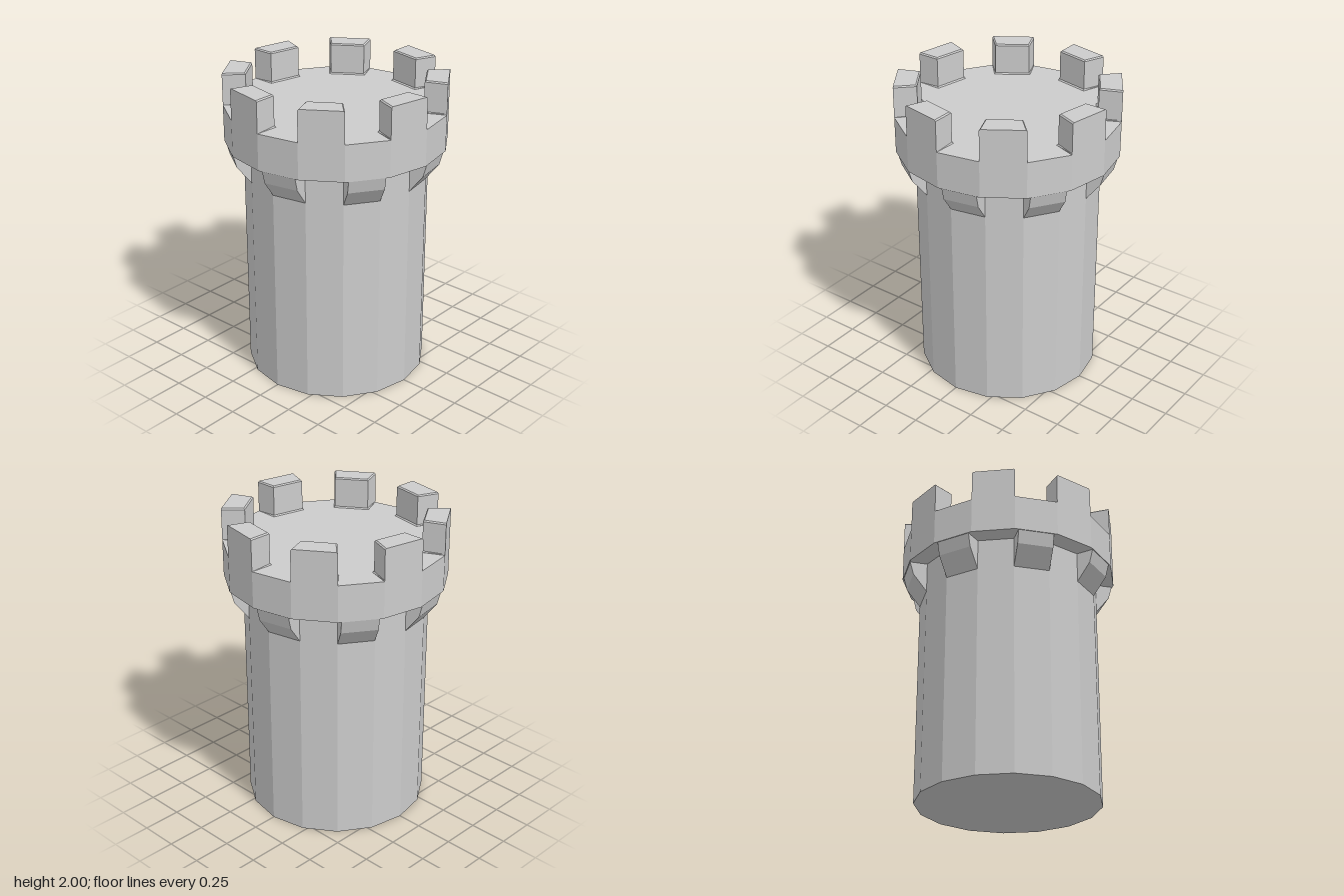
import * as THREE from 'three';

const SIDES = 16;
const STEP = (Math.PI * 2) / SIDES;
const SHAFT_R = 0.588, CROWN_R = 0.708, MERLON_R = 0.562;
const CROWN_BASE = 1.56, FLOOR = 1.795, TOP = 2;

const material = new THREE.MeshStandardMaterial({ color: 0xcccccc, flatShading: true });

function addMesh(parent, name, geometry) {
  const mesh = new THREE.Mesh(geometry, material);
  mesh.name = name;
  parent.add(mesh);
  return mesh;
}

function drum(radius, y0, y1) {
  return new THREE.CylinderGeometry(radius, radius, y1 - y0, SIDES).translate(0, (y0 + y1) / 2, 0);
}

// Block over one facet: four-cornered sections, inset on the sides and inner face
function merlonGeometry() {
  const sections = [[FLOOR, -0.008], [FLOOR + 0.008, 0], [TOP - 0.008, 0], [TOP, 0.008]];
  const points = [], index = [];
  const corner = (r, angle) => new THREE.Vector3(r * Math.sin(angle), 0, r * Math.cos(angle));
  for (const [y, inset] of sections) {
    const inner = MERLON_R + inset;
    const outA = corner(CROWN_R, -STEP / 2), outB = corner(CROWN_R, STEP / 2);
    const inA = corner(inner, -STEP / 2), inB = corner(inner, STEP / 2);
    const side = Math.max(inset, 0);
    outA.x += side; outB.x -= side;
    inA.x += inset; inB.x -= inset;
    for (const p of [outA, outB, inB, inA]) points.push(p.x, y, p.z);
  }
  for (let s = 0; s < sections.length - 1; s++) {
    for (let i = 0; i < 4; i++) {
      const a = s * 4 + i, b = s * 4 + ((i + 1) % 4);
      index.push(a, b, b + 4, a, b + 4, a + 4);
    }
  }
  const t = (sections.length - 1) * 4;
  index.push(t, t + 1, t + 2, t, t + 2, t + 3);
  const geometry = new THREE.BufferGeometry();
  geometry.setAttribute('position', new THREE.Float32BufferAttribute(points, 3));
  geometry.setIndex(index);
  const flat = geometry.toNonIndexed();
  flat.computeVertexNormals();
  return flat;
}

// Bracket one shaft facet wide, swept out from the wall to the crown
function corbelGeometry() {
  const wall = SHAFT_R * Math.cos(STEP / 2);
  const width = 2 * SHAFT_R * Math.sin(STEP / 2);
  const profile = new THREE.Shape([
    [wall - 0.03, 1.36], [wall, 1.36], [wall + 0.09, 1.475],
    [wall + 0.113, CROWN_BASE], [wall - 0.03, CROWN_BASE],
  ].map(([x, y]) => new THREE.Vector2(x, y)));
  return new THREE.ExtrudeGeometry(profile, { depth: width, bevelEnabled: false })
    .translate(0, 0, -width / 2)
    .rotateY(-Math.PI / 2);
}

export function createModel() {
  const tower = new THREE.Group();
  tower.name = 'tower';

  addMesh(tower, 'shaft', drum(SHAFT_R, 0, CROWN_BASE));
  addMesh(tower, 'crown', drum(CROWN_R, CROWN_BASE, FLOOR));

  // Corbels sit under the gaps, merlons on the facets between them
  const corbels = new THREE.Group();
  corbels.name = 'corbels';
  const merlons = new THREE.Group();
  merlons.name = 'merlons';
  const corbel = corbelGeometry(), merlon = merlonGeometry();
  for (let i = 0; i < SIDES; i++) {
    const odd = i % 2 === 1;
    const mesh = odd ? addMesh(merlons, 'merlon', merlon) : addMesh(corbels, 'corbel', corbel);
    mesh.rotation.y = (i + 0.5) * STEP;
  }
  tower.add(corbels, merlons);
  return tower;
}
